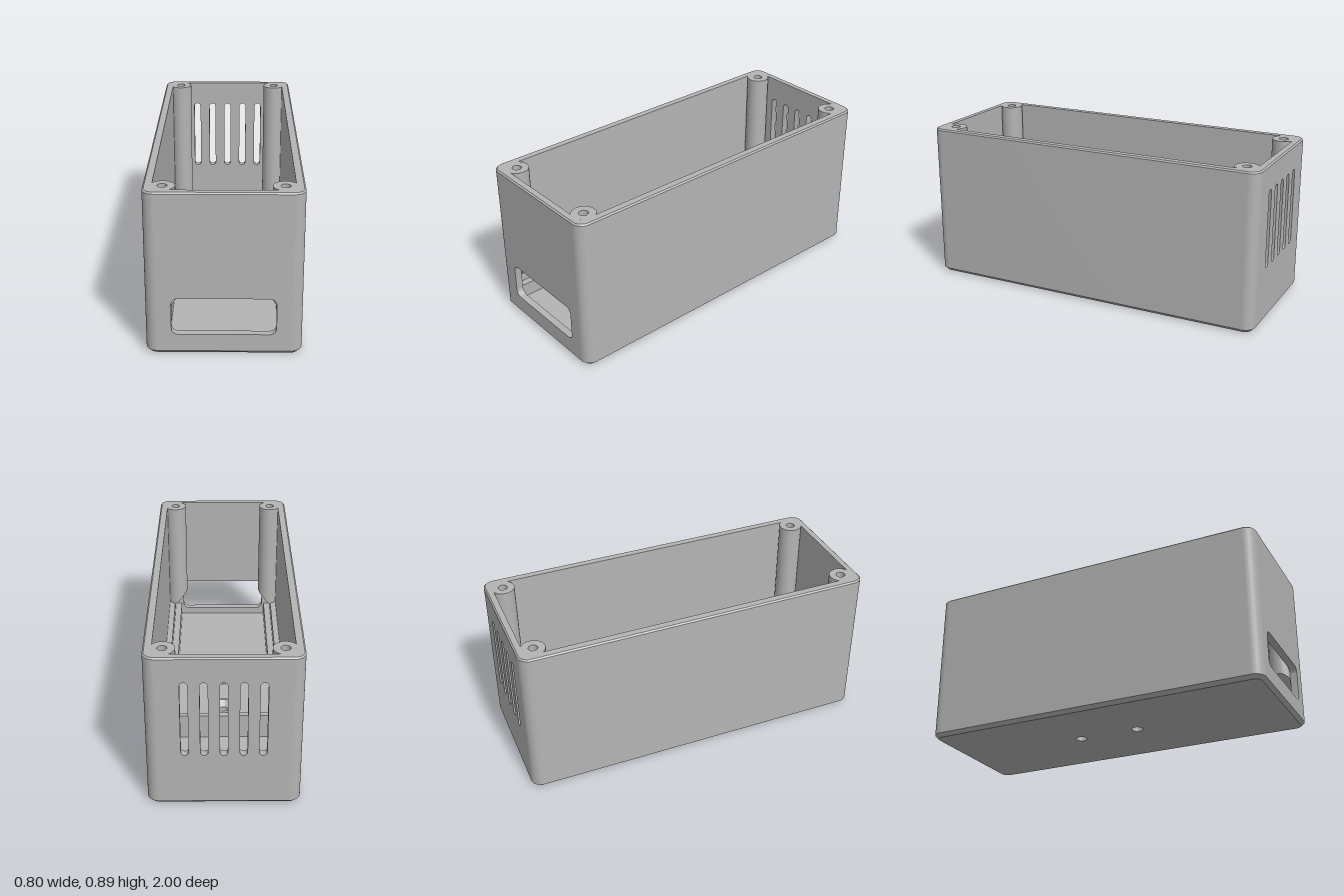
import * as THREE from 'three';
import { toCreasedNormals } from 'three/addons/utils/BufferGeometryUtils.js';

const X = 0.4, Z = 1, H = 0.89, R = 0.06;      // outer half sizes, height, corner radius
const IX = 0.355, IZ = 0.96;                   // inner half sizes
const FLOOR = 0.07, CHAMFER = 0.02, LIP = 0.008;
const SCREWS = [-0.225, 0.13];                 // z of the floor screw holes

// rounded rectangle of half width w and half height h
function roundRect(w, h, r, cx = 0, cy = 0, Type = THREE.Shape) {
  const s = new Type();
  s.absarc(cx + w - r, cy + h - r, r, 0, Math.PI / 2);
  s.absarc(cx - w + r, cy + h - r, r, Math.PI / 2, Math.PI);
  s.absarc(cx - w + r, cy - h + r, r, Math.PI, Math.PI * 1.5);
  s.absarc(cx + w - r, cy - h + r, r, Math.PI * 1.5, Math.PI * 2);
  s.closePath();
  return s;
}

function circlePath(x, y, r) {
  const p = new THREE.Path();
  p.absarc(x, y, r, 0, Math.PI * 2);
  return p;
}

// band of faces between two plan outlines at two heights
function band(lower, y0, upper, y1) {
  const a = lower.getPoints(10), b = upper.getPoints(10), pos = [];
  for (let i = 0; i < a.length - 1; i++) {
    const p = [a[i].x, y0, -a[i].y], q = [a[i + 1].x, y0, -a[i + 1].y];
    const r = [b[i + 1].x, y1, -b[i + 1].y], s = [b[i].x, y1, -b[i].y];
    pos.push(...p, ...q, ...r, ...p, ...r, ...s);
  }
  const g = new THREE.BufferGeometry();
  g.setAttribute('position', new THREE.Float32BufferAttribute(pos, 3));
  return g;
}

export function createModel() {
  const model = new THREE.Group();
  model.name = 'enclosure';
  const grey = new THREE.MeshStandardMaterial({ color: 0xb4b4b4 });
  grey.name = 'grey plastic';

  function add(name, geometry) {
    const mesh = new THREE.Mesh(toCreasedNormals(geometry, 0.5), grey);
    mesh.name = name;
    model.add(mesh);
    return mesh;
  }
  function box(name, x0, x1, y0, y1, z0, z1) {
    const g = new THREE.BoxGeometry(x1 - x0, y1 - y0, z1 - z0);
    add(name, g.translate((x0 + x1) / 2, (y0 + y1) / 2, (z0 + z1) / 2));
  }
  const extrude = (shape, depth) =>
    new THREE.ExtrudeGeometry(shape, { depth, bevelEnabled: false, curveSegments: 12 });

  const wallTop = H - LIP, E = X - R;

  // side walls with the rounded corners
  for (const s of [1, -1]) {
    const c = new THREE.Shape();
    c.moveTo(s * E, -Z);
    c.absarc(s * E, -Z + R, R, -Math.PI / 2, s > 0 ? 0 : -Math.PI, s < 0);
    c.absarc(s * E, Z - R, R, s > 0 ? 0 : Math.PI, Math.PI / 2, s < 0);
    c.lineTo(s * E, IZ);
    c.lineTo(s * IX, IZ - 0.015);
    c.lineTo(s * IX, -IZ + 0.015);
    c.lineTo(s * E, -IZ);
    c.closePath();
    add(s > 0 ? 'leftWall' : 'rightWall',
      extrude(c, wallTop - CHAMFER).rotateX(-Math.PI / 2).translate(0, CHAMFER, 0));
  }

  // front wall with the port opening, back wall with the vent slots
  const endWall = () => new THREE.Shape([
    new THREE.Vector2(-E, CHAMFER), new THREE.Vector2(E, CHAMFER),
    new THREE.Vector2(E, wallTop), new THREE.Vector2(-E, wallTop)]);
  const front = endWall();
  front.holes.push(roundRect(0.267, 0.1015, 0.035, 0, 0.2165, THREE.Path));
  add('frontWall', extrude(front, Z - IZ).translate(0, 0, IZ));
  const back = endWall();
  for (let i = -2; i <= 2; i++)
    back.holes.push(roundRect(0.02, 0.2185, 0.02, i * 0.1, 0.5315, THREE.Path));
  add('backWall', extrude(back, Z - IZ).translate(0, 0, -Z));

  // chamfered top rim
  const outer = roundRect(X, Z, R);
  const rimOuter = () => roundRect(X - LIP, Z - LIP, R - LIP);
  const rimInner = roundRect(IX, IZ, 0.03);
  add('rimChamfer', band(outer, wallTop, rimOuter(), H));
  add('rimInside', band(rimInner, H, rimInner, wallTop));
  const rim = rimOuter();
  rim.holes.push(roundRect(IX, IZ, 0.03, 0, 0, THREE.Path));
  add('rimTop', new THREE.ShapeGeometry(rim, 12).rotateX(-Math.PI / 2).translate(0, H, 0));

  // base: chamfer, underside and inner floor
  const baseOutline = () => roundRect(X - CHAMFER, Z - CHAMFER, R - CHAMFER);
  add('baseChamfer', band(baseOutline(), 0, outer, CHAMFER));
  const under = baseOutline();
  for (const z of SCREWS) under.holes.push(circlePath(0, z, 0.033));
  add('underside', new THREE.ShapeGeometry(under, 16).rotateX(Math.PI / 2));
  const floor = roundRect(IX + 0.01, IZ + 0.01, 0.02);
  for (const z of SCREWS) floor.holes.push(circlePath(0, -z, 0.07));
  add('floor', new THREE.ShapeGeometry(floor, 16).rotateX(-Math.PI / 2).translate(0, FLOOR, 0));

  // countersunk screw bosses in the floor
  const lathe = (pts) => new THREE.LatheGeometry(pts.map(p => new THREE.Vector2(...p)), 32);
  for (const z of SCREWS)
    add('screwBoss', lathe([[0.078, FLOOR], [0.078, 0.1], [0.06, 0.1], [0.033, 0.065], [0.033, 0]])
      .translate(0, 0, z));

  // corner screw posts; the front pair stops above the opening with a sloped underside
  for (const sx of [1, -1]) for (const sz of [1, -1]) {
    const g = lathe([[0, FLOOR], [0.065, FLOOR], [0.065, H], [0.025, H], [0.025, 0.6], [0, 0.6]])
      .translate(sx * 0.303, 0, sz * 0.903);
    if (sz > 0) {
      const p = g.attributes.position;
      for (let i = 0; i < p.count; i++)
        if (p.getY(i) < 0.3) p.setY(i, 0.29 - 1.1 * (Math.abs(p.getX(i)) - 0.238));
    }
    add(sz > 0 ? 'frontPost' : 'backPost', g);
  }

  // stepped board rails along the sides and the cross divider
  for (const s of [1, -1]) {
    const span = (a, b) => (s > 0 ? [a, b] : [-b, -a]);
    box('railLedge', ...span(0.28, 0.32), FLOOR, 0.15, -0.47, IZ);
    box('railGuide', ...span(0.32, IX), FLOOR, 0.213, -0.47, IZ);
  }
  box('divider', -IX, IX, FLOOR, 0.213, -0.5, -0.47);

  return model;
}
